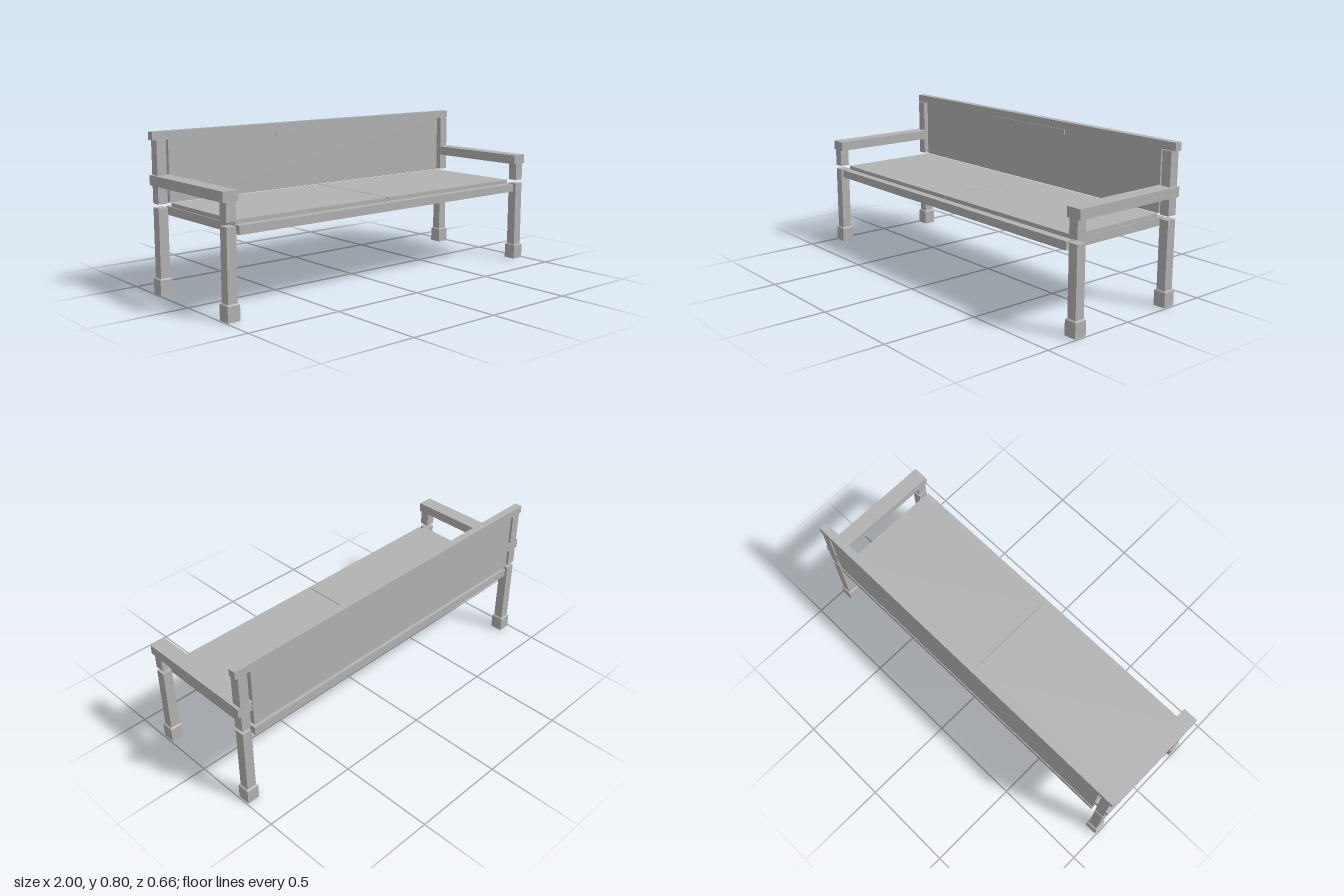
import * as THREE from 'three';

export function createModel() {
  const bench = new THREE.Group();
  bench.name = 'bench';
  const grey = new THREE.MeshStandardMaterial({ color: 0xb2b2b2 });
  grey.name = 'plain grey';

  const add = (name, geometry) => {
    const mesh = new THREE.Mesh(geometry, grey);
    mesh.name = name;
    bench.add(mesh);
    return mesh;
  };
  // Box given by its extents on each axis
  const box = (name, [x0, x1], [y0, y1], [z0, z1]) => {
    const mesh = add(name, new THREE.BoxGeometry(x1 - x0, y1 - y0, z1 - z0));
    mesh.position.set((x0 + x1) / 2, (y0 + y1) / 2, (z0 + z1) / 2);
    return mesh;
  };
  // Same box on the left (+x) and the right (-x)
  const pair = (name, [x0, x1], y, z) => {
    box(name + 'Left', [x0, x1], y, z);
    box(name + 'Right', [-x1, -x0], y, z);
  };

  const postX = [0.934, 0.985];
  const ends = { front: [0.273, 0.324], back: [-0.322, -0.271] };

  // Legs and square feet with a short bevelled collar
  for (const [end, z] of Object.entries(ends)) {
    pair(end + 'Leg', postX, [0.07, 0.43], z);
    const cz = (z[0] + z[1]) / 2;
    pair(end + 'Foot', [0.9265, 0.9925], [0, 0.076], [cz - 0.033, cz + 0.033]);
    for (const side of [1, -1]) {
      const geo = new THREE.CylinderGeometry(0.027 * Math.SQRT2, 0.033 * Math.SQRT2, 0.006, 4, 1);
      geo.rotateY(Math.PI / 4);
      const collar = add(end + 'FootCollar', geo.toNonIndexed());
      collar.geometry.computeVertexNormals();
      collar.position.set(side * 0.9595, 0.079, cz);
    }
  }

  // Upper posts stand clear of the legs
  pair('armPost', postX, [0.45, 0.54], ends.front);
  pair('backPostLower', postX, [0.45, 0.54], ends.back);
  pair('backPostUpper', postX, [0.59, 0.76], ends.back);
  pair('armrest', [0.918, 1], [0.54, 0.59], [-0.322, 0.324]);

  // Seat frame
  box('frontRail', [-0.915, 0.915], [0.387, 0.429], [0.275, 0.322]);
  box('backRail', [-0.915, 0.915], [0.387, 0.429], [-0.322, -0.275]);
  pair('sideRail', [0.873, 0.915], [0.387, 0.429], [-0.275, 0.275]);

  // Two seat boards with a narrow seam
  pair('seatBoard', [0.002, 0.91], [0.429, 0.449], [-0.28, 0.28]);

  // Backrest, top rail and the thin strip on its front
  box('backPanel', [-0.915, 0.915], [0.45, 0.76], [-0.322, -0.284]);
  box('topRail', [-1, 1], [0.76, 0.8], [-0.322, -0.282]);
  box('backStrip', [-0.277, 0.275], [0.736, 0.76], [-0.284, -0.278]);

  return bench;
}
